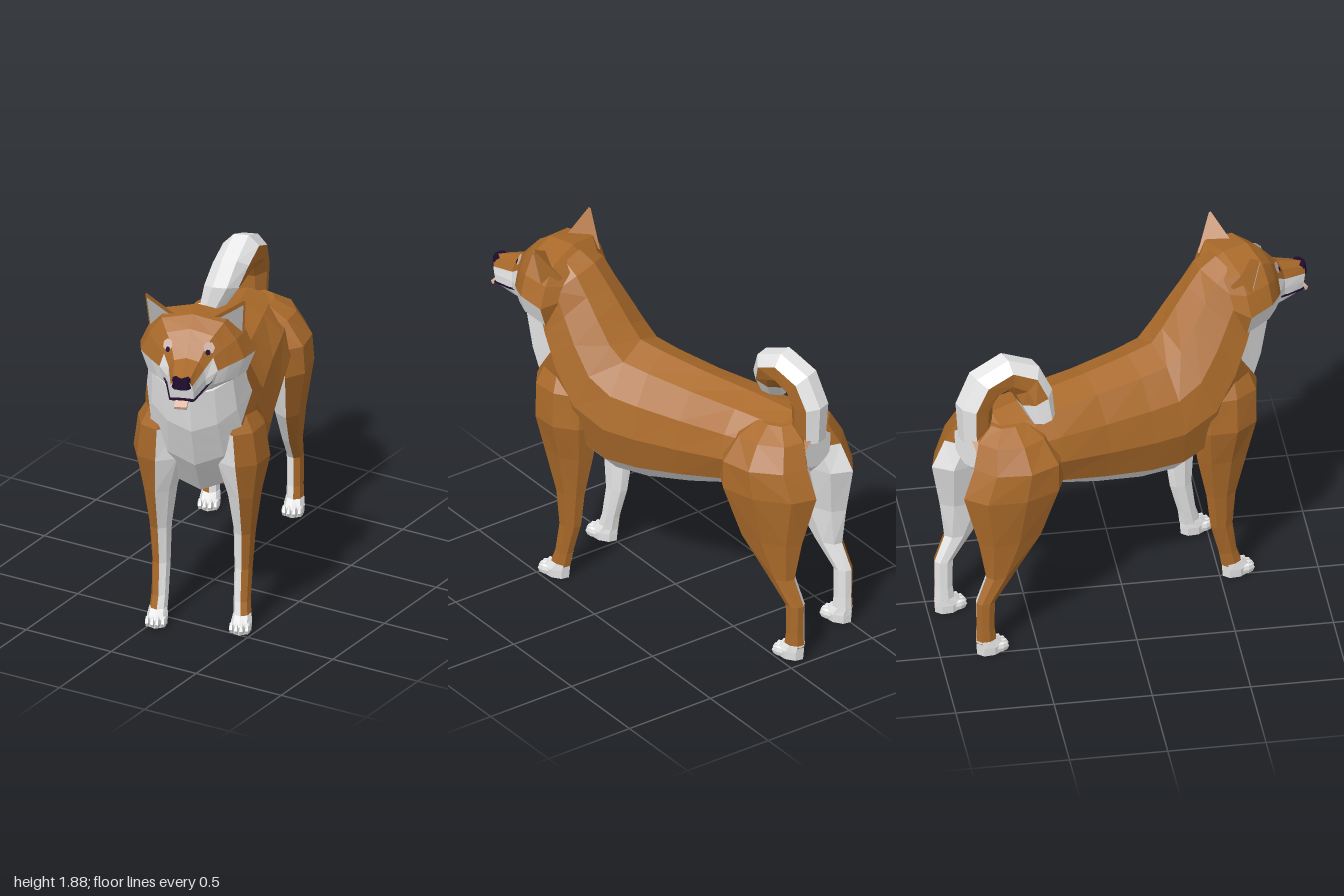
import * as THREE from 'three';

const mat = (name, color, extra = {}) => {
  const m = new THREE.MeshStandardMaterial({ color, flatShading: true, ...extra });
  m.name = name;
  return m;
};
const V = (x, y, z) => new THREE.Vector3(x, y, z);

export function createModel() {
  const brown = mat('brown fur', 0xaa6a2a);
  const white = mat('white fur', 0xe8e8e8);
  const grey = mat('inner ear grey', 0xbdbdbd, { side: THREE.DoubleSide });
  const dark = mat('dark nose', 0x1e0a2e);
  const pale = mat('pale brow', 0xd9bdae, { side: THREE.DoubleSide });
  const pink = mat('tongue pink', 0xe3bca8);

  const dog = new THREE.Group();
  dog.name = 'dog';
  const add = (name, geo, material, parent = dog) => {
    const m = new THREE.Mesh(geo, material);
    m.name = name;
    parent.add(m);
    return m;
  };

  // Closed surface through rings; paint(i, j) picks material 0 or 1 per quad
  function loft(rings, paint, startPaint = 1, endPaint = 1) {
    const buckets = [[], []];
    const tri = (b, ...p) => buckets[b].push(p);
    const n = rings[0].length;
    for (let i = 0; i < rings.length - 1; i++) {
      for (let j = 0; j < n; j++) {
        const j2 = (j + 1) % n, A = rings[i], B = rings[i + 1], b = paint(i, j);
        tri(b, A[j], A[j2], B[j2]);
        tri(b, A[j], B[j2], B[j]);
      }
    }
    const cap = (r, flip, b) => {
      const c = r.reduce((s, p) => s.add(p), V(0, 0, 0)).divideScalar(n);
      r.forEach((p, j) => {
        const q = r[(j + 1) % n];
        flip ? tri(b, c, q, p) : tri(b, c, p, q);
      });
    };
    cap(rings[0], true, startPaint);
    cap(rings[rings.length - 1], false, endPaint);
    // turn the surface outward using its signed volume
    let vol = 0;
    buckets.flat().forEach(([a, b, c]) => { vol += a.dot(b.clone().cross(c)); });
    const pos = [], geo = new THREE.BufferGeometry();
    buckets.forEach((list, b) => {
      geo.addGroup(pos.length / 3, list.length * 3, b);
      list.forEach(([p, q, r]) => (vol > 0 ? [p, q, r] : [p, r, q]).forEach(v => pos.push(v.x, v.y, v.z)));
    });
    geo.setAttribute('position', new THREE.Float32BufferAttribute(pos, 3));
    geo.computeVertexNormals();
    return geo;
  }

  // Mirrored 12-point section from a top point to a bottom point
  const T = [0, 0.08, 0.28, 0.52, 0.78, 0.92, 1];
  const section = (zt, yt, zb, yb, hw, f) => Array.from({ length: 12 }, (_, j) => {
    const k = j <= 6 ? j : 12 - j, s = j <= 6 ? 1 : -1, t = T[k];
    return V(s * hw * f[k], yt + (yb - yt) * t, zt + (zb - zt) * t);
  });
  const row = j => (j < 6 ? j : 11 - j);

  // Torso, chest and neck
  const bodyShape = [0, 0.5, 0.86, 1, 0.86, 0.5, 0];
  const torso = [
    [-0.88, 1.2, -0.89, 1.02, 0.13], [-0.74, 1.285, -0.76, 0.88, 0.25],
    [-0.47, 1.315, -0.47, 0.8, 0.27], [-0.2, 1.335, -0.2, 0.71, 0.27],
    [0.05, 1.365, 0.05, 0.65, 0.285], [0.19, 1.39, 0.24, 0.64, 0.3],
    [0.25, 1.46, 0.52, 0.74, 0.31], [0.33, 1.57, 0.68, 0.95, 0.285],
    [0.365, 1.615, 0.73, 1.065, 0.27], [0.4, 1.66, 0.78, 1.18, 0.255],
    [0.47, 1.745, 0.82, 1.4, 0.24], [0.56, 1.795, 0.8, 1.45, 0.2],
  ].map(r => section(...r, bodyShape));
  add('torso', loft(torso, (i, j) => (row(j) >= (i === 0 || i >= 8 ? 3 : 4) ? 1 : 0)), [brown, white]);

  // Head and muzzle
  const headShape = [0, 0.6, 0.84, 1, 0.85, 0.5, 0];
  const muzzleShape = [0, 0.65, 0.92, 1, 1, 0.8, 0];
  const headRing = (z, top, bot, hw) => section(z, top, z, bot, hw, headShape);
  const muzzleRing = (z, top, zb, bot, hw) => section(z, top, zb, bot, hw, muzzleShape);
  const head = [
    headRing(0.5, 1.72, 1.5, 0.15), headRing(0.6, 1.81, 1.36, 0.295),
    headRing(0.74, 1.815, 1.39, 0.265), headRing(0.81, 1.765, 1.41, 0.2),
    headRing(0.85, 1.72, 1.42, 0.15), muzzleRing(0.91, 1.65, 0.9, 1.435, 0.098),
    muzzleRing(1.055, 1.6, 1.02, 1.448, 0.06),
  ];
  add('head', loft(head, (i, j) => (i > 0 && row(j) >= (i >= 4 ? 2 : 3) ? 1 : 0), 0), [brown, white]);

  // Mouth line: a thin band just proud of the muzzle
  add('mouthLine', loft([
    muzzleRing(0.87, 1.518, 0.87, 1.508, 0.125), muzzleRing(0.92, 1.5, 0.92, 1.488, 0.1),
    muzzleRing(1.036, 1.482, 1.036, 1.468, 0.064),
  ], () => 0, 0, 0), [dark, dark]);
  const nose = add('nose', new THREE.CylinderGeometry(0.046, 0.05, 0.056, 8), dark);
  nose.scale.z = 0.6;
  nose.position.set(0, 1.573, 1.043);
  const tongue = add('tongue', new THREE.BoxGeometry(0.064, 0.018, 0.07), pink);
  tongue.position.set(0, 1.46, 1.04);
  tongue.rotation.x = 0.45;

  // Tail curling forward, white on the outside of the curl
  const tailPath = [
    [0, 1.17, -0.83, 0.085], [0, 1.36, -0.835, 0.095], [-0.005, 1.47, -0.78, 0.1],
    [-0.02, 1.515, -0.67, 0.1], [-0.05, 1.47, -0.575, 0.1], [-0.09, 1.38, -0.54, 0.095],
    [-0.14, 1.265, -0.52, 0.065],
  ];
  const tailRings = tailPath.map(([x, y, z, r], i) => {
    const a = tailPath[Math.max(0, i - 1)], b = tailPath[Math.min(6, i + 1)];
    const out = V(0, b[2] - a[2], -(b[1] - a[1])).normalize();
    return Array.from({ length: 8 }, (_, j) => {
      const t = (j + 0.5) * Math.PI / 4;
      return V(x + Math.cos(t) * r, y, z).addScaledVector(out, Math.sin(t) * r);
    });
  });
  add('tail', loft(tailRings, (i, j) => (Math.sin((j + 1) * Math.PI / 4) > 0.3 || i === 5 ? 1 : 0)), [brown, white]);

  // Leg rings: height, x, z, half width, half depth, outward lean of the front edge
  const foreleg = [
    [0.07, 0.215, 0.53, 0.046, 0.058], [0.15, 0.21, 0.51, 0.044, 0.05],
    [0.32, 0.21, 0.475, 0.047, 0.062], [0.52, 0.215, 0.47, 0.057, 0.085],
    [0.75, 0.215, 0.48, 0.09, 0.145], [0.95, 0.205, 0.49, 0.145, 0.185],
    [1.13, 0.195, 0.5, 0.13, 0.185], [1.27, 0.17, 0.52, 0.075, 0.11],
  ];
  const hindLeg = [
    [0.07, 0.215, -0.885, 0.046, 0.058], [0.15, 0.215, -0.89, 0.043, 0.05],
    [0.31, 0.215, -0.89, 0.044, 0.052], [0.45, 0.215, -0.805, 0.055, 0.08],
    [0.66, 0.215, -0.74, 0.085, 0.18, 0.015], [0.93, 0.205, -0.72, 0.14, 0.265, 0.04],
    [1.08, 0.19, -0.69, 0.15, 0.23, 0.04], [1.2, 0.13, -0.69, 0.13, 0.18, 0.02],
    [1.26, 0.08, -0.68, 0.07, 0.1],
  ];
  const ovals = (rows, s) => rows.map(([y, x, z, rx, rz, lean = 0]) => Array.from({ length: 8 }, (_, j) => {
    const t = j * Math.PI / 4;
    return V(s * (x + Math.cos(t) * rx + Math.sin(t) * lean), y, z + Math.sin(t) * rz);
  }));

  for (const s of [1, -1]) {
    const side = s > 0 ? 'left' : 'right';
    for (const [name, rows, footZ] of [['Foreleg', foreleg, 0.555], ['HindLeg', hindLeg, -0.862]]) {
      const leg = new THREE.Group();
      leg.name = side + name;
      dog.add(leg);
      // brown outside, white inside; haunch tops are all brown
      const paint = (i, j) => (i >= 6 || Math.cos((j + 0.5) * Math.PI / 4) > 0 ? 0 : 1);
      add('limb', loft(ovals(rows, s), paint, 1, 0), [brown, white], leg);
      add('paw', loft(ovals([
        [0, 0.215, footZ, 0.05, 0.075], [0.045, 0.215, footZ, 0.054, 0.08],
        [0.085, 0.215, footZ - 0.025, 0.046, 0.056],
      ], s), () => 1), [brown, white], leg);
      for (let k = 0; k < 4; k++) {
        const o = k - 1.5;
        const toe = add('toe', new THREE.SphereGeometry(1, 6, 4), white, leg);
        toe.scale.set(0.016, 0.03, 0.042);
        toe.position.set(s * 0.215 + o * 0.027, 0.03, footZ + 0.064 - Math.abs(o) * 0.012);
      }
    }

    // Ear: three-sided spike with an inset inner face
    const inner = V(s * 0.1, 1.79, 0.7), outer = V(s * 0.24, 1.64, 0.62);
    const back = V(s * 0.17, 1.71, 0.55), tip = V(s * 0.258, 1.885, 0.67);
    const front = [inner, outer, tip];
    const mix = f => [inner, outer, back].map(p => p.clone().lerp(tip, f));
    add(side + 'Ear', loft([mix(0), mix(0.94)], () => 0, 0, 0), [brown, brown]);
    const mid = front.reduce((a, p) => a.add(p), V(0, 0, 0)).divideScalar(3);
    const plate = new THREE.BufferGeometry().setFromPoints(
      (s > 0 ? front : [inner, tip, outer]).map(p => p.clone().lerp(mid, 0.25).add(V(s * 0.004, 0, 0.007))));
    plate.computeVertexNormals();
    add(side + 'InnerEar', plate, grey);

    // Brow patch and eye lying on the slope of the face
    const normal = V(s * 0.52, 0.385, 0.764).normalize();
    const patch = (name, r, x, y, z, lift, m) => {
      const d = add(side + name, new THREE.CircleGeometry(r, 7), m);
      d.quaternion.setFromUnitVectors(V(0, 0, 1), normal);
      d.position.set(s * x, y, z).addScaledVector(normal, lift);
    };
    patch('Brow', 0.032, 0.102, 1.687, 0.849, 0.007, pale);
    patch('Eye', 0.015, 0.097, 1.667, 0.862, 0.011, dark);
  }

  // Whole animal stands turned to its left
  dog.rotation.y = 0.358;
  dog.position.set(0.028, 0, -0.01);
  const model = new THREE.Group();
  model.name = 'model';
  model.add(dog);
  return model;
}
